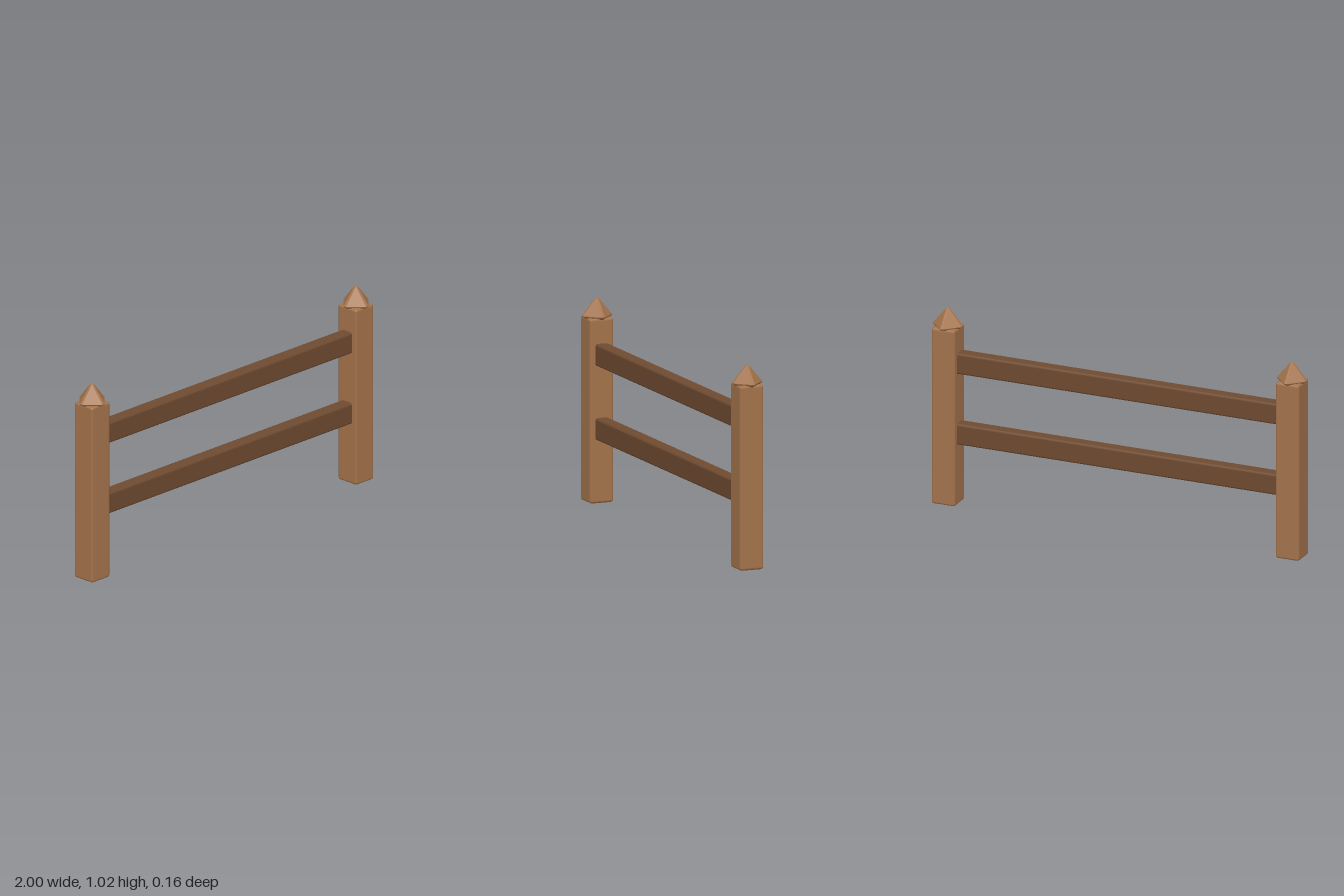
import * as THREE from 'three';
import { RoundedBoxGeometry } from 'three/addons/geometries/RoundedBoxGeometry.js';
import { ConvexGeometry } from 'three/addons/geometries/ConvexGeometry.js';

const POST_X = 0.922;

// Pyramid on a diamond base with clipped corners, built from level rings
function capGeometry() {
  // [height, reach of the corners, half width of the clipped corners]
  const rings = [
    [0.914, 0.062, 0.006],
    [0.924, 0.076, 0.008],
    [0.929, 0.078, 0.008],
    [1.009, 0.012, 0.005],
    [1.016, 0.004, 0.002],
  ];
  const points = [];
  for (const [y, reach, clip] of rings) {
    for (const s of [-1, 1]) {
      for (const t of [-1, 1]) {
        points.push(new THREE.Vector3(s * reach, y, t * clip));
        points.push(new THREE.Vector3(t * clip, y, s * reach));
      }
    }
  }
  return new ConvexGeometry(points);
}

export function createModel() {
  const group = new THREE.Group();
  group.name = 'fence';

  const postWood = new THREE.MeshStandardMaterial({ color: 0xa5744c });
  postWood.name = 'light brown wood';
  const railWood = new THREE.MeshStandardMaterial({ color: 0x6f4b31 });
  railWood.name = 'dark brown wood';

  const add = (name, geometry, material, x, y) => {
    const mesh = new THREE.Mesh(geometry, material);
    mesh.name = name;
    mesh.position.set(x, y, 0);
    group.add(mesh);
  };

  // Posts with pointed caps
  const post = new RoundedBoxGeometry(0.127, 0.922, 0.127, 1, 0.013);
  const cap = capGeometry();
  for (const [side, s] of [['left', 1], ['right', -1]]) {
    add(side + 'Post', post, postWood, s * POST_X, 0.461);
    add(side + 'PostCap', cap, postWood, s * POST_X, 0);
  }

  // Rails let into the posts
  const rail = new RoundedBoxGeometry(1.78, 0.11, 0.072, 1, 0.012);
  add('upperRail', rail, railWood, 0, 0.742);
  add('lowerRail', rail, railWood, 0, 0.372);

  return group;
}
